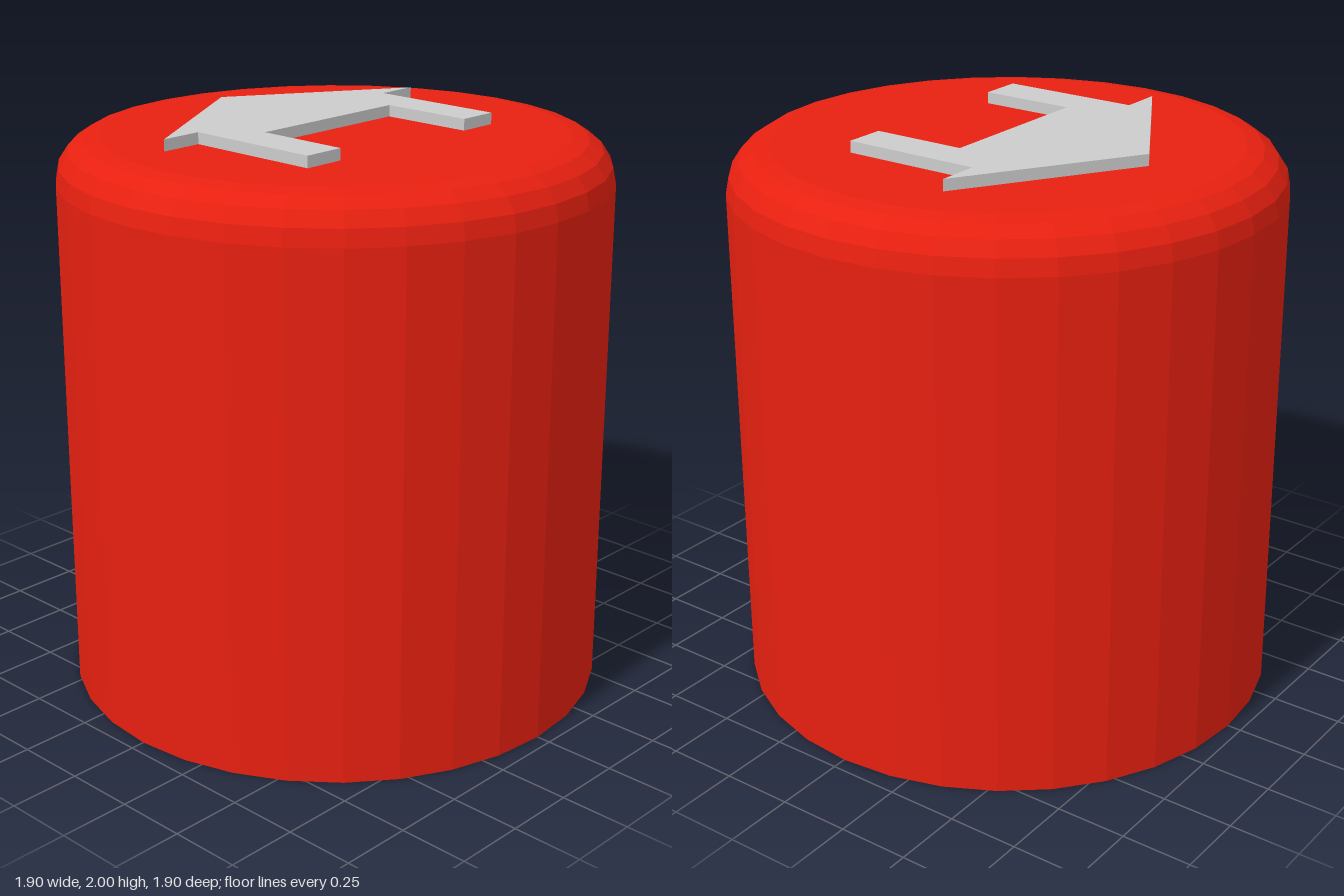
import * as THREE from 'three';

export function createModel() {
  const group = new THREE.Group();
  const R = 0.95, TOP = 1.96, BEVEL = 0.15, STEPS = 4;

  // Faceted button body: flat base, straight wall, rounded top rim
  const profile = [new THREE.Vector2(0, 0), new THREE.Vector2(R, 0)];
  for (let i = 0; i <= STEPS; i++) {
    const a = (i / STEPS) * Math.PI / 2;
    profile.push(new THREE.Vector2(
      R - BEVEL + BEVEL * Math.cos(a),
      TOP - BEVEL + BEVEL * Math.sin(a)));
  }
  profile.push(new THREE.Vector2(0, TOP));
  const bodyGeometry = new THREE.LatheGeometry(profile, 32).toNonIndexed();
  bodyGeometry.computeVertexNormals();
  const body = new THREE.Mesh(bodyGeometry,
    new THREE.MeshStandardMaterial({ color: 0xe72010, flatShading: true }));
  body.name = 'buttonBody';
  group.add(body);

  // Raised arrow with two tail arms, outlined in x and z, resting on the top
  const outline = [
    [-0.55, 0.01], [-0.18, -0.59], [-0.18, -0.44], [0.32, -0.44],
    [0.32, -0.295], [-0.02, -0.295], [-0.02, 0.315], [0.32, 0.315],
    [0.32, 0.465], [-0.18, 0.465], [-0.18, 0.615],
  ].map(([x, z]) => new THREE.Vector2(x, z));
  const arrowGeometry = new THREE.ExtrudeGeometry(new THREE.Shape(outline),
    { depth: 2 - TOP, bevelEnabled: false });
  arrowGeometry.rotateX(Math.PI / 2);
  const arrow = new THREE.Mesh(arrowGeometry,
    new THREE.MeshStandardMaterial({ color: 0xcccccc, flatShading: true }));
  arrow.name = 'raisedArrow';
  arrow.position.y = 2;
  group.add(arrow);

  return group;
}
